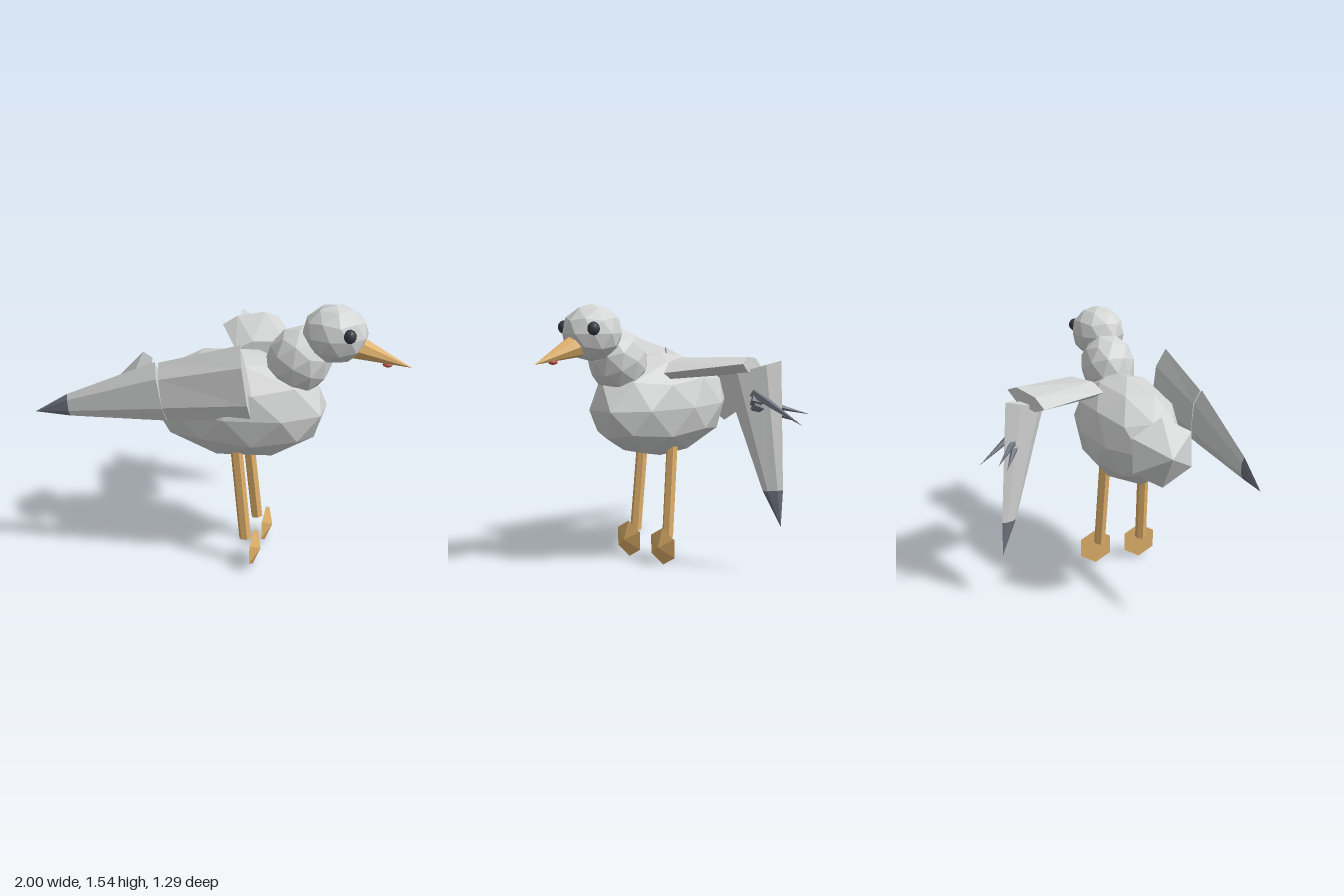
import * as THREE from 'three';

const V = (x, y, z) => new THREE.Vector3(x, y, z);
const MID = 0.286; // the body's own centre plane in z

function paint(name, color) {
  const m = new THREE.MeshStandardMaterial({ color, flatShading: true });
  m.name = name;
  return m;
}

export function createModel() {
  const bird = new THREE.Group();
  bird.name = 'bird';
  const feather = paint('pale grey feathers', 0xd3d5d4);
  const slate = paint('slate wing tips', 0x70747f);
  const horn = paint('tan beak and legs', 0xdfb06a);
  const black = paint('eye black', 0x393a42);
  const red = paint('beak red', 0xc4584c);

  function add(name, geometry, material) {
    const mesh = new THREE.Mesh(geometry, material);
    mesh.name = name;
    bird.add(mesh);
    return mesh;
  }

  // faceted ball with a vertex at its top and bottom
  function ball(name, center, radii, material, tilt = 0, detail = 1) {
    const g = new THREE.IcosahedronGeometry(1, detail);
    g.rotateZ(-Math.atan(2 / (1 + Math.sqrt(5))));
    g.scale(...radii);
    g.rotateZ(tilt);
    g.computeVertexNormals();
    const mesh = add(name, g, material);
    mesh.position.copy(center);
    return mesh;
  }

  // straight tapered rod or cone between two points
  function rod(name, from, to, r0, r1, sides, material, twist = 0) {
    const dir = to.clone().sub(from);
    const g = new THREE.CylinderGeometry(r1, r0, dir.length(), sides);
    g.rotateY(twist);
    const mesh = add(name, g, material);
    mesh.quaternion.setFromUnitVectors(V(0, 1, 0), dir.normalize());
    mesh.position.copy(from).add(to).multiplyScalar(0.5);
    return mesh;
  }

  // flattened six-sided wing piece between two cross-sections:
  // each has a centre, a half chord vector and a half thickness
  function blade(name, a, b, material) {
    const axis = b.center.clone().sub(a.center);
    const ring = (s) => {
      const n = axis.clone().cross(a.chord).normalize().multiplyScalar(s.thick / 0.866);
      return Array.from({ length: 6 }, (_, i) => {
        const t = (i * Math.PI) / 3;
        return s.center.clone().addScaledVector(s.chord, Math.cos(t)).addScaledVector(n, Math.sin(t));
      });
    };
    const p = ring(a), q = ring(b), pos = [];
    const tri = (...pts) => pts.forEach((v) => pos.push(v.x, v.y, v.z));
    for (let i = 0; i < 6; i++) {
      const j = (i + 1) % 6;
      tri(p[i], p[j], q[j]);
      tri(p[i], q[j], q[i]);
      tri(a.center, p[j], p[i]);
      tri(b.center, q[i], q[j]);
    }
    const g = new THREE.BufferGeometry();
    g.setAttribute('position', new THREE.Float32BufferAttribute(pos, 3));
    g.computeVertexNormals();
    return add(name, g, material);
  }
  const section = (center, chord, thick) => ({ center, chord, thick });
  const point = (center) => section(center, V(0, 0, 0), 0);

  // body, neck and head
  ball('body', V(0.055, 0.94, MID), [0.51, 0.31, 0.285], feather);
  ball('neck', V(0.398, 1.222, MID), [0.178, 0.192, 0.167], feather, -0.5);
  ball('head', V(0.588, 1.385, MID), [0.178, 0.16, 0.163], feather);

  // beak with its red spot
  rod('beak', V(0.705, 1.32, MID), V(1, 1.231, MID), 0.068, 0, 8, horn);
  ball('beakSpot', V(0.872, 1.239, MID), [0.028, 0.016, 0.025], red);

  // eyes, legs and feet on both sides
  for (const side of [-1, 1]) {
    const label = side < 0 ? 'Far' : 'Near';
    ball('eye' + label, V(0.686, 1.415, MID + side * 0.122), [0.034, 0.038, 0.034], black, 0, 2);
    rod('leg' + label, V(0.082, 0.7, MID + side * 0.124), V(0.135, 0.165, MID + side * 0.136),
      0.034, 0.034, 6, horn);
    rod('foot' + label, V(0.185, 0.115, MID + side * 0.144), V(0.227, 0.114, MID + side * 0.144),
      0.111, 0, 6, horn, Math.PI / 6);
  }

  // fan tail
  rod('tail', V(-0.51, 0.985, MID), V(-0.663, 1.0, MID), 0.2, 0, 6, feather, Math.PI / 6);

  // folded wing
  const foldedEnd = section(V(-0.805, 0.967, 0.63), V(-0.005, 0.063, 0), 0.013);
  blade('foldedWingInner',
    section(V(0.168, 1.158, 0.547), V(-0.028, 0.213, 0.01), 0.05),
    section(V(-0.282, 1.085, 0.592), V(-0.015, 0.16, 0), 0.038), feather);
  blade('foldedWingOuter',
    section(V(-0.285, 1.085, 0.595), V(-0.028, 0.165, 0), 0.038), foldedEnd, feather);
  blade('foldedWingTip', foldedEnd, point(V(-1, 0.91, 0.636)), slate);

  // raised wing with its outer part hanging down
  const hangingEnd = section(V(-0.078, 0.495, -0.474), V(0.03, -0.005, 0.049), 0.013);
  blade('raisedWingInner',
    section(V(0.172, 1.175, 0.047), V(0.172, -0.012, -0.077), 0.048),
    section(V(-0.035, 1.203, -0.35), V(0.155, 0.018, -0.065), 0.042), feather);
  blade('raisedWingOuter',
    section(V(-0.035, 1.182, -0.354), V(0.09, -0.047, 0.134), 0.038), hangingEnd, feather);
  blade('raisedWingTip', hangingEnd, point(V(-0.095, 0.29, -0.52)), slate);

  // loose pointed feathers on the hanging wing
  const quills = [
    [V(-0.02, 1.05, -0.37), V(-0.12, 0.875, -0.645)],
    [V(0.0, 1.01, -0.375), V(-0.28, 0.92, -0.575)],
    [V(0.0, 0.98, -0.385), V(-0.25, 0.875, -0.52)],
  ];
  quills.forEach(([from, to], i) => rod('quill' + (i + 1), from, to, 0.032, 0, 5, slate));

  return bird;
}
